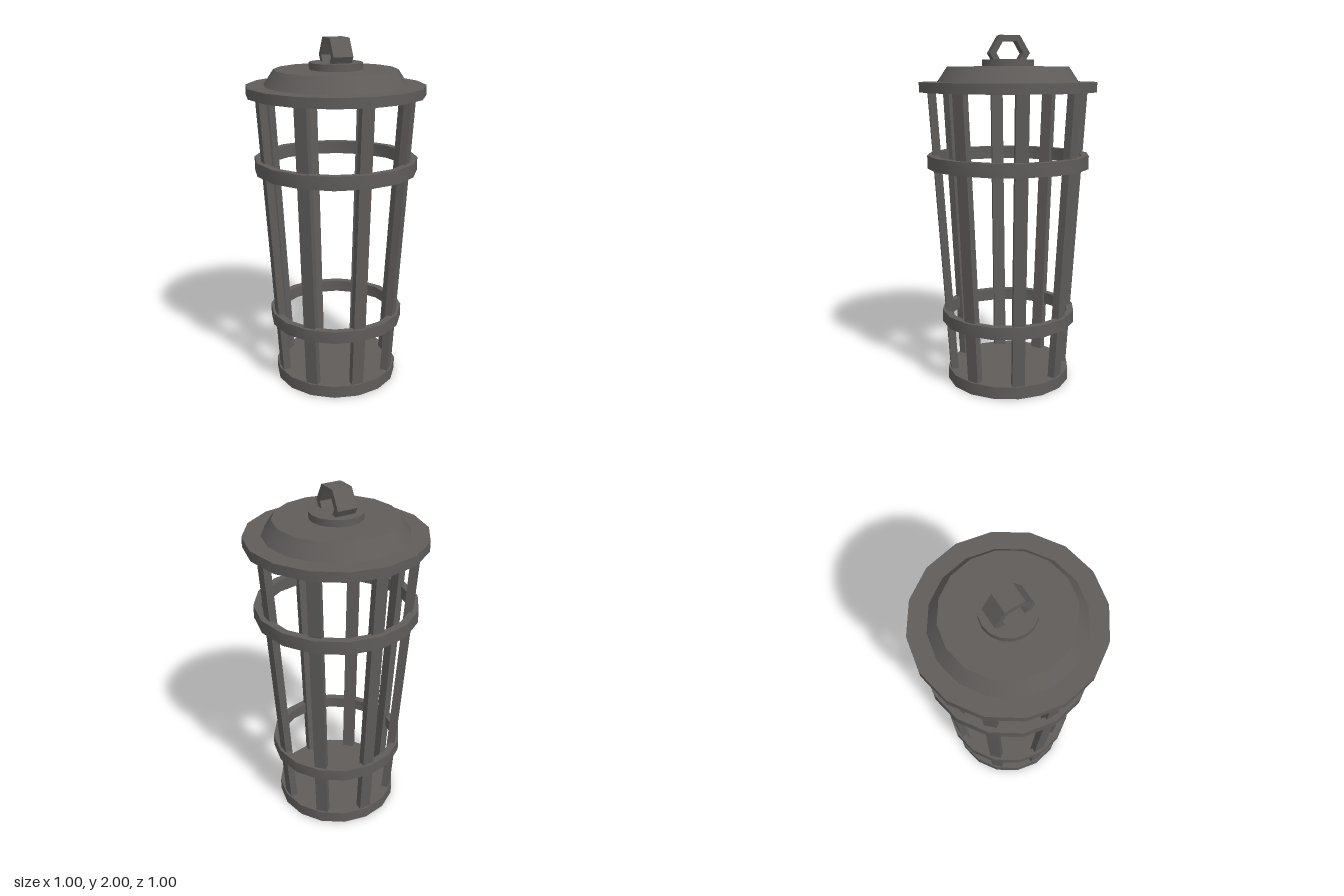
import * as THREE from 'three';
import { toCreasedNormals } from 'three/addons/utils/BufferGeometryUtils.js';

const SIDES = 16;

export function createModel() {
  const model = new THREE.Group();
  model.name = 'cageLantern';
  const iron = new THREE.MeshStandardMaterial({ color: 0x5f5c5a });
  iron.name = 'dark iron';

  const add = (name, geometry) => {
    const mesh = new THREE.Mesh(geometry, iron);
    mesh.name = name;
    model.add(mesh);
    return mesh;
  };

  // Solid disc or cone section between two heights
  const disc = (name, rBottom, rTop, y0, y1) => {
    const mesh = add(name, new THREE.CylinderGeometry(rTop, rBottom, y1 - y0, SIDES));
    mesh.position.y = (y0 + y1) / 2;
  };

  // Flat hoop with a rectangular section
  const hoop = (name, inner, outer, y0, y1) => {
    const profile = [[inner, y0], [outer, y0], [outer, y1], [inner, y1], [inner, y0]]
      .map(([r, y]) => new THREE.Vector2(r, y));
    add(name, toCreasedNormals(new THREE.LatheGeometry(profile, SIDES), 0.6));
  };

  // Base, hoops and stepped lid
  disc('base', 0.36, 0.36, 0, 0.07);
  hoop('lowerHoop', 0.35, 0.39, 0.36, 0.43);
  hoop('upperHoop', 0.42, 0.462, 1.265, 1.34);
  disc('lidRim', 0.5, 0.5, 1.69, 1.745);
  disc('lidCone', 0.4, 0.343, 1.745, 1.83);
  disc('lidBoss', 0.148, 0.148, 1.83, 1.868);

  // Eight bars that lean outward towards the lid
  const y0 = 0.02, y1 = 1.71, rBottom = 0.322, rTop = 0.432;
  const bar = new THREE.BoxGeometry(0.07, y1 - y0, 0.043);
  bar.translate(0, (y0 + y1) / 2, 0);
  const p = bar.attributes.position;
  for (let i = 0; i < p.count; i++) {
    const t = (p.getY(i) - y0) / (y1 - y0);
    p.setZ(i, p.getZ(i) + THREE.MathUtils.lerp(rBottom, rTop, t));
  }
  bar.computeVertexNormals();
  for (let i = 0; i < 8; i++) {
    add('bar' + (i + 1), bar).rotation.y = (i * Math.PI) / 4;
  }

  // Hexagonal hanging loop, its hole running left to right
  const hexagon = (r) => Array.from({ length: 6 }, (_, i) =>
    new THREE.Vector2(r * Math.cos((i * Math.PI) / 3), r * Math.sin((i * Math.PI) / 3)));
  const shape = new THREE.Shape(hexagon(0.112));
  shape.holes.push(new THREE.Path(hexagon(0.075)));
  const loop = new THREE.ExtrudeGeometry(shape, { depth: 0.114, bevelEnabled: false });
  loop.translate(0, 0, -0.057);
  loop.rotateY(Math.PI / 2);
  add('hangingLoop', loop).position.y = 1.903;

  return model;
}
